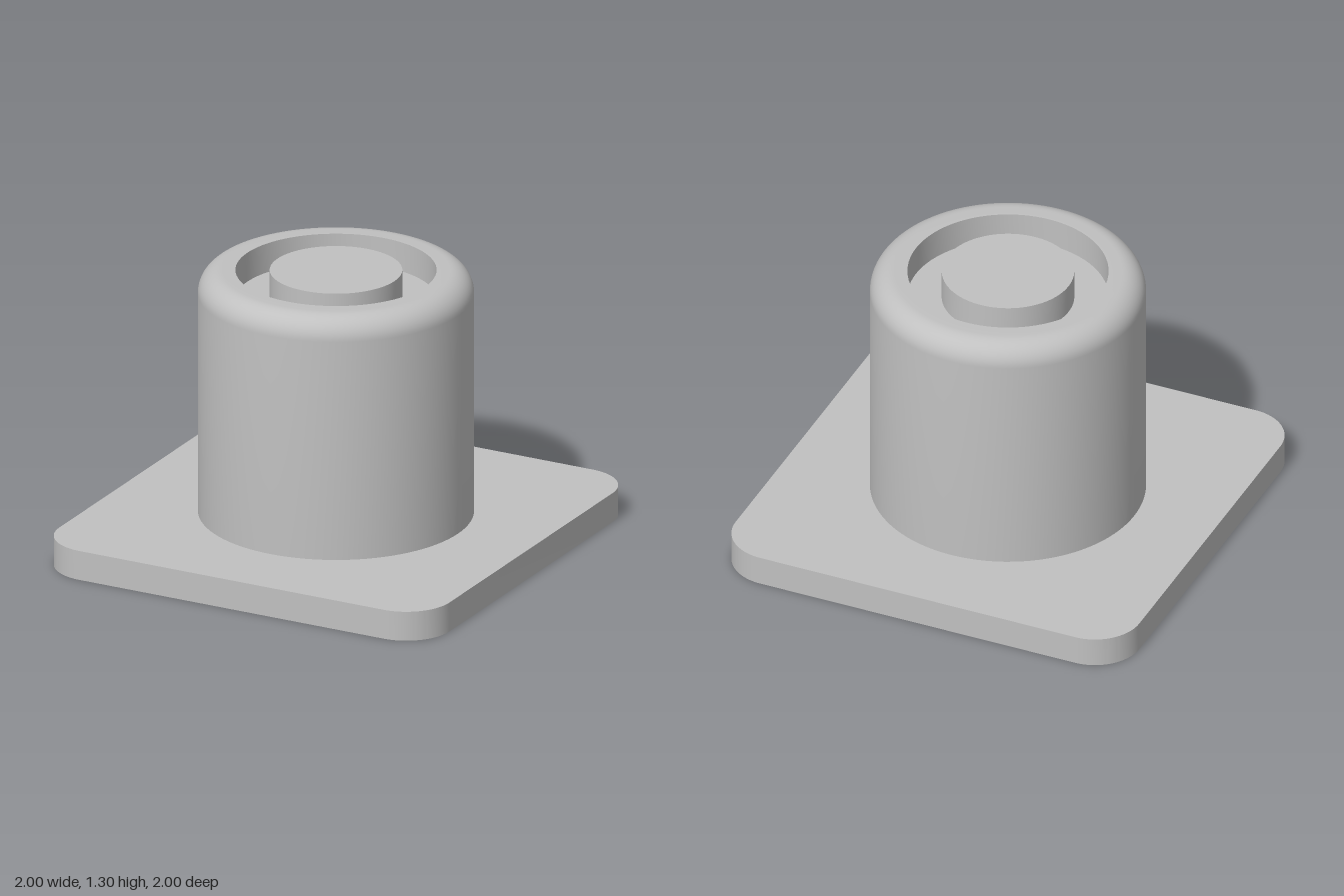
import * as THREE from 'three';
import { toCreasedNormals } from 'three/addons/utils/BufferGeometryUtils.js';

const BASE_H = 0.14, TOP = 1.305, BODY_R = 0.625, FILLET = 0.11;
const BORE_R = 0.455, BORE_DEPTH = 0.14, CORE_R = 0.3, CORNER = 0.22;

// Square with rounded corners, half-width h
function roundedSquare(h, r) {
  const s = new THREE.Shape();
  const c = h - r;
  s.absarc(c, c, r, 0, Math.PI / 2);
  s.absarc(-c, c, r, Math.PI / 2, Math.PI);
  s.absarc(-c, -c, r, Math.PI, Math.PI * 1.5);
  s.absarc(c, -c, r, Math.PI * 1.5, Math.PI * 2);
  s.closePath();
  return s;
}

export function createModel() {
  const group = new THREE.Group();
  group.name = 'flangedHousing';
  const grey = new THREE.MeshStandardMaterial({ color: 0xc0c0c0 });
  grey.name = 'light grey';

  const add = (name, geometry) => {
    const mesh = new THREE.Mesh(toCreasedNormals(geometry, 0.5), grey);
    mesh.name = name;
    group.add(mesh);
    return mesh;
  };

  // Flat mounting plate with rounded corners
  const plate = new THREE.ExtrudeGeometry(roundedSquare(1, CORNER), {
    depth: BASE_H, bevelEnabled: false, curveSegments: 16,
  });
  plate.rotateX(-Math.PI / 2);
  add('basePlate', plate);

  // Housing: outer wall, rounded shoulder, flat rim and recess
  const profile = [new THREE.Vector2(BODY_R, BASE_H)];
  for (let i = 0; i <= 12; i++) {
    const a = (i / 12) * Math.PI / 2;
    profile.push(new THREE.Vector2(
      BODY_R - FILLET + FILLET * Math.cos(a),
      TOP - FILLET + FILLET * Math.sin(a)));
  }
  profile.push(
    new THREE.Vector2(BORE_R, TOP),
    new THREE.Vector2(BORE_R, TOP - BORE_DEPTH),
    new THREE.Vector2(0, TOP - BORE_DEPTH));
  add('housing', new THREE.LatheGeometry(profile, 96));

  // Central post, level with the rim
  const core = new THREE.CylinderGeometry(CORE_R, CORE_R, BORE_DEPTH, 96);
  add('centrePost', core).position.y = TOP - BORE_DEPTH / 2;

  return group;
}
